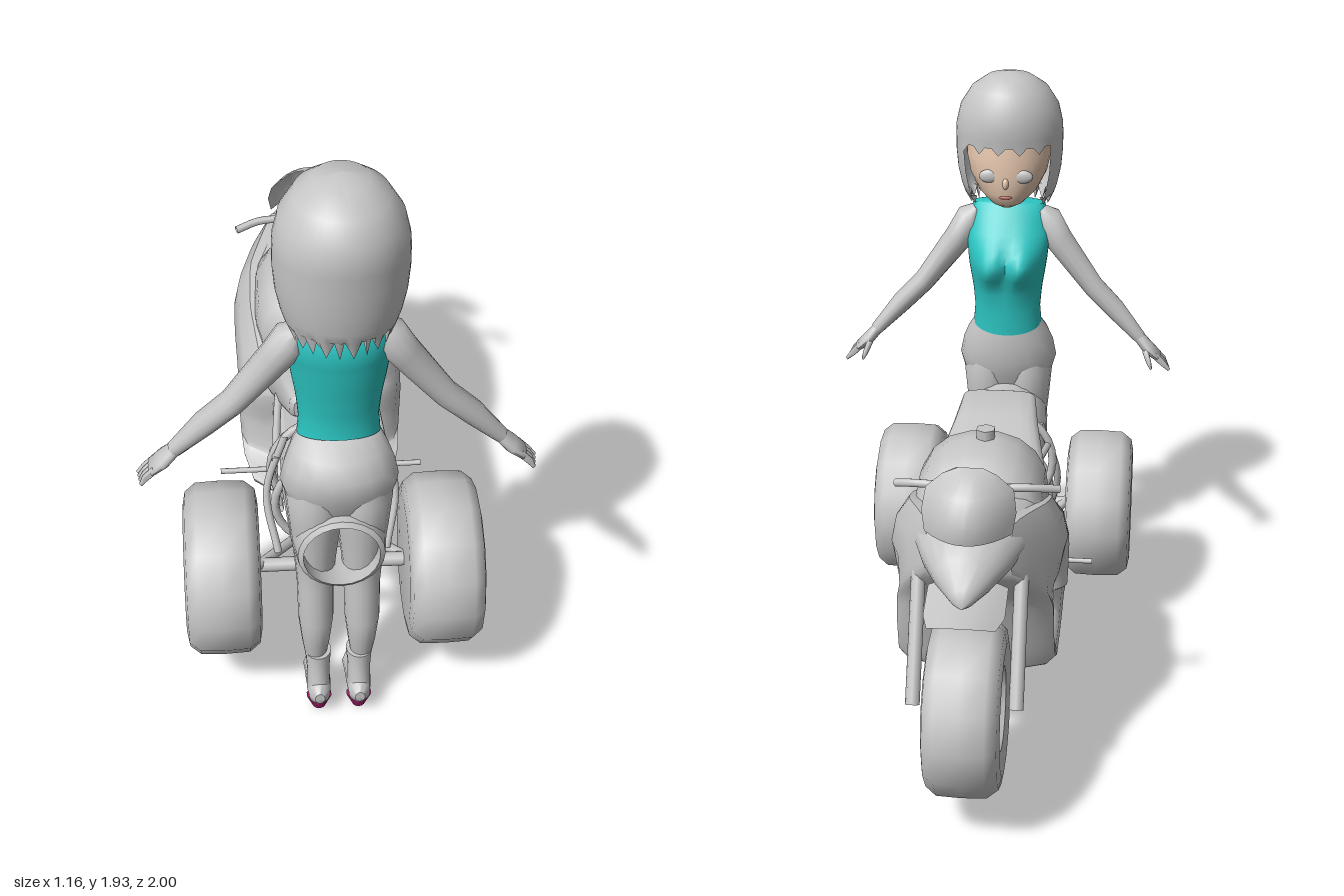
import * as THREE from 'three';
import { toCreasedNormals } from 'three/addons/utils/BufferGeometryUtils.js';

const mat = (name, color) => new THREE.MeshStandardMaterial({ name, color });
const V = (x, y, z) => new THREE.Vector3(x, y, z);

export function createModel() {
  const grey = mat('plain grey', 0xc6c6c6), teal = mat('teal fabric', 0x2cc6c3);
  const skin = mat('skin', 0xf2d2b8), magenta = mat('magenta heel', 0x9c1a64), lip = mat('lip red', 0xb86a62);
  grey.side = THREE.DoubleSide;
  const model = new THREE.Group();
  const trike = new THREE.Group(), woman = new THREE.Group();
  trike.name = 'trike'; woman.name = 'standingWoman';
  model.add(trike, woman);

  const add = (parent, name, geo, material = grey, x = 0, y = 0, z = 0) => {
    const m = new THREE.Mesh(geo, material);
    m.name = name; m.position.set(x, y, z); parent.add(m);
    return m;
  };

  // Skin over rows of points; closed rings may be capped, faces are turned outward
  function skinRows(rows, closed = true, caps = true, crease = 0.75) {
    const n = rows[0].length, pos = [], idx = [];
    rows.forEach(r => r.forEach(p => pos.push(p.x, p.y, p.z)));
    for (let i = 0; i < rows.length - 1; i++) for (let j = 0; j < (closed ? n : n - 1); j++) {
      const a = i * n + j, b = i * n + (j + 1) % n;
      idx.push(a, b, a + n, b, b + n, a + n);
    }
    if (closed && caps) [0, rows.length - 1].forEach((r, k) => {
      const c = rows[r].reduce((s, p) => s.add(p), V(0, 0, 0)).divideScalar(n);
      const ci = pos.length / 3; pos.push(c.x, c.y, c.z);
      for (let j = 0; j < n; j++) {
        const a = r * n + j, b = r * n + (j + 1) % n;
        k ? idx.push(ci, a, b) : idx.push(ci, b, a);
      }
    });
    const P = i => V(pos[i * 3], pos[i * 3 + 1], pos[i * 3 + 2]);
    let vol = 0;
    for (let i = 0; i < idx.length; i += 3) vol += P(idx[i]).dot(P(idx[i + 1]).cross(P(idx[i + 2])));
    if (vol < 0) idx.reverse();
    const g = new THREE.BufferGeometry();
    g.setAttribute('position', new THREE.Float32BufferAttribute(pos, 3));
    g.setIndex(idx);
    return toCreasedNormals(g, crease);
  }
  const circle = (n, f) => Array.from({ length: n }, (_, i) => f(i / n * Math.PI * 2));
  const pw = (v, e) => Math.sign(v) * Math.abs(v) ** e;
  // Rows [z, centreY, rx, ry] along z, and [y, centreZ, rx, rz, tilt] up y
  const loftZ = (rows, x = 0, e = 1, n = 18) => skinRows(rows.map(([z, y, rx, ry]) =>
    circle(n, a => V(x + rx * pw(Math.cos(a), e), y + ry * pw(Math.sin(a), e), z))));
  const loftY = (rows, x = 0, n = 18, shape = p => p) => skinRows(rows.map(([y, z, rx, rz, tilt = 0]) =>
    circle(n, a => shape(V(x + rx * Math.cos(a), y + tilt * Math.sin(a), z + rz * Math.sin(a)), a))), true, true, 1);
  const tube = (name, pts, r) => add(trike, name,
    new THREE.TubeGeometry(new THREE.CatmullRomCurve3(pts.map(p => V(...p))), pts.length * 4, r, 8));
  const ball = (name, material, p, s) =>
    add(woman, name, new THREE.SphereGeometry(1, 18, 12), material, ...p).scale.set(...s);

  // Wheels: rounded tyres with bowl-shaped hubs
  const hub = [[0.2, 0.115], [0.128, 0.106], [0.105, 0.06], [0.06, 0.03], [0, 0.02]];
  const tread = [[0.238, -0.108], [0.264, -0.075], [0.267, 0], [0.264, 0.075], [0.238, 0.108]];
  const wheel = inner => toCreasedNormals(new THREE.LatheGeometry(
    [...inner, ...tread, ...hub].map(p => new THREE.Vector2(...p)), 14), 0.8);
  add(trike, 'frontWheel', wheel([...hub].reverse().map(([r, y]) => [r, -y])).rotateZ(Math.PI / 2), grey, -0.008, 0.385, -0.732);
  for (const s of [1, -1])
    add(trike, s > 0 ? 'leftRearWheel' : 'rightRearWheel',
      wheel([[0, -0.115], [0.2, -0.115]]).rotateZ(-s * Math.PI / 2), grey, s * 0.339 - 0.007, 0.402, 0.638);

  // Fairing halves: rings spread from a through-tunnel to the outline [z, y, x]
  const outline = new THREE.CatmullRomCurve3([
    [0.0, 0.74, 0.2], [-0.16, 0.81, 0.22], [-0.33, 0.87, 0.21], [-0.56, 0.91, 0.13], [-0.61, 0.77, 0.13],
    [-0.5, 0.62, 0.16], [-0.44, 0.46, 0.15], [-0.39, 0.31, 0.11], [-0.27, 0.268, 0.09], [0, 0.268, 0.1],
    [0.2, 0.275, 0.1], [0.245, 0.32, 0.13], [0.1, 0.38, 0.17], [0.07, 0.5, 0.19], [0.08, 0.62, 0.2]
  ].map(([z, y, x]) => V(x, y, z)), true, 'catmullrom', 0.25).getPoints(60).slice(0, 60);
  const at = (cz, cy, rz, ry, x) => outline.map(p => {
    const a = Math.atan2(p.y - 0.46, p.z + 0.21);
    return V(x, cy + ry * Math.sin(a), cz + rz * Math.cos(a));
  });
  const mouth = at(-0.215, 0.46, 0.135, 0.1, 0.225);
  const between = (t, x) => outline.map((p, i) => {
    const q = mouth[i].clone().lerp(p, t).setX(p.x + (x - p.x) * (1 - t * 0.35));
    q.x *= 1 - 0.9 * Math.max(0, -0.33 - q.z);
    return q;
  });
  const fairing = [at(-0.14, 0.45, 0.05, 0.08, 0), at(-0.14, 0.45, 0.05, 0.08, 0.1), at(-0.2, 0.46, 0.11, 0.09, 0.19),
    mouth, between(0.22, 0.26), between(0.5, 0.285), between(0.78, 0.27), outline, outline.map(p => V(0, p.y, p.z))];
  for (const s of [1, -1])
    add(trike, s > 0 ? 'leftFairing' : 'rightFairing',
      skinRows(fairing.map(r => r.map(p => V(p.x * s, p.y, p.z))), true, false));

  // Nose, tank, filler cap, seat and open tail barrel
  add(trike, 'noseCowl', loftZ([[-0.3, 0.84, 0.2, 0.08], [-0.5, 0.84, 0.18, 0.08], [-0.62, 0.83, 0.14, 0.09],
    [-0.71, 0.805, 0.09, 0.065], [-0.77, 0.77, 0.035, 0.03], [-0.795, 0.755, 0.005, 0.005]]));
  add(trike, 'fuelTank', loftZ([[0.13, 0.78, 0.01, 0.02], [0.07, 0.78, 0.085, 0.09], [-0.02, 0.79, 0.19, 0.17],
    [-0.09, 0.8, 0.205, 0.2], [-0.17, 0.8, 0.207, 0.212], [-0.27, 0.8, 0.205, 0.197], [-0.34, 0.81, 0.19, 0.155], [-0.385, 0.82, 0.14, 0.09]], 0, 0.9));
  add(trike, 'fillerCap', new THREE.CylinderGeometry(0.032, 0.032, 0.03, 6), grey, -0.01, 1.022, -0.16);
  add(trike, 'seat', loftZ([[0.455, 0.87, 0.11, 0.037], [0.44, 0.868, 0.125, 0.045], [0.3, 0.808, 0.145, 0.075],
    [0.11, 0.735, 0.18, 0.1], [0, 0.71, 0.19, 0.08]], 0, 0.45, 24));
  add(trike, 'tailBarrel', loftZ([[0.42, 0.66, 0.155, 0.155], [0.6, 0.665, 0.155, 0.155], [0.78, 0.68, 0.145, 0.145],
    [0.92, 0.705, 0.127, 0.127], [0.93, 0.705, 0.112, 0.112], [0.75, 0.685, 0.112, 0.112]], 0, 1, 24));

  // Windscreen and front mudguard, curved sheets
  const sheet = rows => skinRows(rows.map(([w, y, z, sweep, drop]) => Array.from({ length: 11 }, (_, i) => {
    const t = i / 5 - 1;
    return V(w * t, y - drop * t * t, z + sweep * t * t);
  })), false);
  add(trike, 'windscreen', sheet([[0.13, 0.9, -0.69, 0.09, 0], [0.14, 0.96, -0.7, 0.12, 0],
    [0.13, 1.03, -0.66, 0.11, 0.01], [0.08, 1.075, -0.59, 0.04, 0.01], [0.04, 1.085, -0.55, 0, 0]]));
  add(trike, 'frontMudguard', sheet([[0.1, 0.715, -0.845, 0.03, 0.02], [0.12, 0.73, -0.73, 0, 0.04], [0.12, 0.75, -0.6, 0, 0.03]]));

  // Engine block with faceted side covers
  const cover = new THREE.Shape([[0.39, 0.53], [0.3, 0.61], [0.08, 0.59], [0.08, 0.45], [0.36, 0.485]].map(([z, y]) => new THREE.Vector2(-z, y)));
  add(trike, 'engineCover', new THREE.ExtrudeGeometry(cover, { depth: 0.26, bevelSize: 0.015, bevelThickness: 0.03, bevelSegments: 1 })
    .translate(0, 0, -0.13).rotateY(Math.PI / 2));

  // Tubes: handlebar, forks, frame rails, pegs and axle
  tube('handlebar', [[-0.255, 0.955, -0.4], [-0.17, 0.97, -0.43], [0, 0.965, -0.435], [0.17, 0.97, -0.43], [0.24, 0.955, -0.4]], 0.013);
  add(trike, 'handlebarClamp', new THREE.BoxGeometry(0.1, 0.08, 0.08), grey, 0, 0.94, -0.44);
  tube('footPegBar', [[-0.34, 0.4, 0.19], [0.32, 0.4, 0.19]], 0.009);
  tube('rearAxle', [[-0.26, 0.4, 0.635], [0.26, 0.4, 0.635]], 0.022);
  for (const s of [1, -1]) {
    const side = s > 0 ? 'left' : 'right';
    tube(side + 'Fork', [[s * 0.155, 0.74, -0.55], [s * 0.155, 0.385, -0.735]], 0.022);
    tube(side + 'SeatRail', [[s * 0.17, 0.7, 0.49], [s * 0.155, 0.735, 0.3], [s * 0.14, 0.76, 0.17]], 0.012);
    tube(side + 'LowerRail', [[s * 0.16, 0.46, 0.45], [s * 0.16, 0.39, 0.06]], 0.015);
    tube(side + 'AxleBrace', [[s * 0.25, 0.42, 0.67], [s * 0.1, 0.34, 0.45]], 0.016);
    tube(side + 'RearStay', [[s * 0.14, 0.78, 0.47], [s * 0.2, 0.58, 0.5], [s * 0.17, 0.4, 0.58]], 0.012);
  }
  for (const [y, z, r] of [[0.645, 0.46, 0.185], [0.52, 0.49, 0.175]])
    add(trike, 'frameHoop', new THREE.TorusGeometry(r, 0.014, 8, 28), grey, 0, y, z);

  // Torso with sloping hem and a smooth bust, hips and neck
  const bust = (p, a) => {
    const d = ((Math.abs(p.x) - 0.057) / 0.045) ** 2 + ((p.y - 1.275) / 0.062) ** 2;
    if (Math.sin(a) < 0) p.z -= 0.052 * Math.exp(-d);
    return p;
  };
  add(woman, 'top', loftY([[1.05, 0.768, 0.12, 0.086, 0.03], [1.11, 0.765, 0.115, 0.084, 0.01], [1.17, 0.765, 0.12, 0.092],
    [1.2, 0.764, 0.124, 0.096], [1.23, 0.764, 0.129, 0.101], [1.26, 0.764, 0.134, 0.106], [1.29, 0.766, 0.138, 0.109],
    [1.32, 0.772, 0.141, 0.107], [1.35, 0.78, 0.144, 0.103], [1.38, 0.793, 0.145, 0.096],
    [1.43, 0.81, 0.138, 0.074], [1.475, 0.81, 0.125, 0.05], [1.485, 0.81, 0.05, 0.042]], 0, 40, bust), teal);
  add(woman, 'hips', loftY([[1.075, 0.765, 0.108, 0.072], [1.02, 0.79, 0.14, 0.105], [0.97, 0.805, 0.16, 0.122],
    [0.91, 0.805, 0.172, 0.118], [0.85, 0.803, 0.155, 0.1], [0.78, 0.803, 0.1, 0.07]]));
  add(woman, 'neck', loftY([[1.46, 0.805, 0.05, 0.045], [1.54, 0.8, 0.045, 0.045]]));

  // Arm limbs: rows [x, y, z, radius across, radius in z]
  const limb = (name, s, rows) => add(woman, name, skinRows(rows.map(([x, y, z, r, rz]) =>
    circle(12, a => V(s * (x + 0.72 * r * Math.cos(a)), y + 0.69 * r * Math.cos(a), z + rz * Math.sin(a)))), true, true, 1));
  for (const s of [1, -1]) {
    const side = s > 0 ? 'left' : 'right';
    limb(side + 'Arm', s, [[0.11, 1.45, 0.805, 0.02, 0.03], [0.135, 1.41, 0.805, 0.055, 0.055], [0.18, 1.34, 0.795, 0.05, 0.05],
      [0.3, 1.18, 0.785, 0.038, 0.043], [0.38, 1.1, 0.775, 0.036, 0.041], [0.47, 1.0, 0.765, 0.023, 0.027]]);
    limb(side + 'Hand', s, [[0.465, 1.005, 0.765, 0.02, 0.026], [0.5, 0.965, 0.76, 0.022, 0.042], [0.535, 0.935, 0.76, 0.016, 0.04], [0.54, 0.93, 0.76, 0.008, 0.03]]);
    [-0.027, -0.009, 0.009, 0.027].forEach((dz, i) => limb(side + 'Finger', s,
      [[0.525, 0.945, 0.76 + dz, 0.012, 0.01], [0.555, 0.915, 0.76 + dz, 0.011, 0.01], [0.578 - i * 0.003, 0.892, 0.76 + dz, 0.006, 0.006]]));
    limb(side + 'Thumb', s, [[0.49, 0.965, 0.73, 0.012, 0.012], [0.505, 0.93, 0.705, 0.01, 0.01], [0.515, 0.905, 0.7, 0.005, 0.005]]);

    // Legs, boots and heels, toes toward -z
    add(woman, side + 'Leg', loftY([[0.94, 0.805, 0.06, 0.085], [0.86, 0.805, 0.088, 0.106], [0.75, 0.808, 0.078, 0.094],
      [0.6, 0.81, 0.062, 0.073], [0.5, 0.815, 0.055, 0.062], [0.38, 0.838, 0.053, 0.06], [0.28, 0.838, 0.042, 0.046], [0.2, 0.83, 0.031, 0.034]], s * 0.07));
    add(woman, side + 'BootCuff', loftY([[0.23, 0.835, 0.04, 0.046], [0.16, 0.84, 0.035, 0.042], [0.08, 0.855, 0.036, 0.05]], s * 0.063));
    add(woman, side + 'Foot', loftZ([[0.915, 0.09, 0.015, 0.02], [0.89, 0.085, 0.033, 0.044], [0.83, 0.085, 0.038, 0.052],
      [0.76, 0.055, 0.038, 0.042], [0.71, 0.036, 0.04, 0.028], [0.67, 0.045, 0.02, 0.018]], s * 0.062));
    add(woman, side + 'Heel', new THREE.CylinderGeometry(0.04, 0.018, 0.052, 10).scale(1, 1, 0.75), magenta, s * 0.062, 0.031, 0.863);

    ball(side + 'Eye', grey, [s * 0.057, 1.605, 0.662], [0.035, 0.023, 0.012]);
  }

  // Face
  add(woman, 'face', loftY([[1.485, 0.72, 0.02, 0.025], [1.5, 0.735, 0.055, 0.07], [1.54, 0.755, 0.1, 0.107],
    [1.6, 0.775, 0.132, 0.128], [1.66, 0.785, 0.145, 0.138], [1.74, 0.8, 0.14, 0.14]], 0, 24), skin);
  ball('nose', skin, [0, 1.582, 0.65], [0.011, 0.02, 0.013]);
  ball('lips', lip, [0, 1.533, 0.652], [0.022, 0.007, 0.006]);

  // Hair rows [y, centreZ, rx, rz], swept from a front opening angle, with ragged drops
  const hairRow = ([y, cz, rx, rz], open, drop = () => 0) => Array.from({ length: 49 }, (_, j) => {
    const a = open + (Math.PI - open) * j / 24;
    return V(rx * Math.sin(a), y - drop(j, a), cz - rz * Math.cos(a));
  });
  const crown = [[1.935, 0.8, 0.001, 0.001], [1.92, 0.8, 0.075, 0.08], [1.88, 0.81, 0.13, 0.145],
    [1.82, 0.815, 0.168, 0.18], [1.76, 0.815, 0.182, 0.184], [1.73, 0.816, 0.184, 0.182]].map(r => hairRow(r, 0));
  crown.push(hairRow([1.705, 0.816, 0.184, 0.178], 0, j => (j % 3 === 1 ? 0.025 : 0)));
  add(woman, 'hairCrown', skinRows(crown, false, false, 1));
  const curtain = [[1.73, 0.816, 0.184, 0.182], [1.67, 0.818, 0.184, 0.176], [1.6, 0.82, 0.178, 0.167],
    [1.54, 0.823, 0.165, 0.155], [1.51, 0.827, 0.155, 0.143]].map(r => hairRow(r, 0.93));
  curtain.push(hairRow([1.505, 0.835, 0.135, 0.12], 0.93,
    (j, a) => (j % 3 === 1 ? 0.04 : j % 2 ? 0.02 : 0) * (1 - 0.5 * Math.cos(a))));
  add(woman, 'hairLengths', skinRows(curtain, false, false, 1));
  return model;
}
